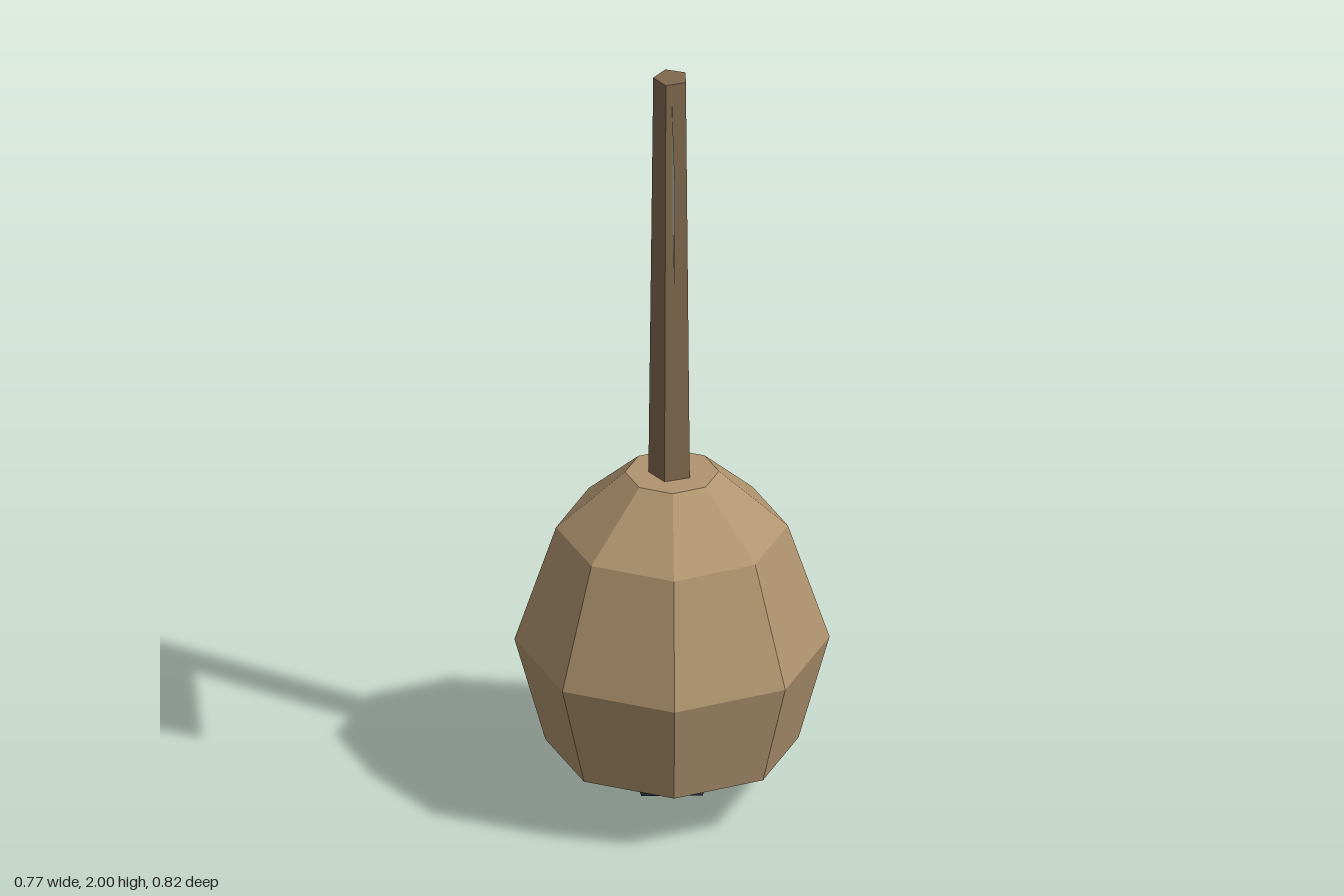
import * as THREE from 'three';

const AXIS_Z = -0.026; // the body and pole sit slightly behind the origin, balancing the flag

function addPart(group, name, geometry, color, side = THREE.FrontSide) {
  const material = new THREE.MeshStandardMaterial({ color, flatShading: true, side });
  const mesh = new THREE.Mesh(geometry, material);
  mesh.name = name;
  group.add(mesh);
  return mesh;
}

export function createModel() {
  const model = new THREE.Group();
  model.name = 'flaggedBuoy';

  // Eight-sided float, closed by a point below and a flat cap above
  const profile = [
    [0, 0.01], [0.31, 0.16], [0.386, 0.44], [0.284, 0.75], [0.115, 0.903], [0, 0.903],
  ].map(([r, y]) => new THREE.Vector2(r, y));
  const body = addPart(model, 'floatBody', new THREE.LatheGeometry(profile, 8), 0xb0946f);
  body.position.z = AXIS_Z;

  // Five-sided tapering pole
  const poleHeight = 1.12;
  const pole = addPart(model, 'pole',
    new THREE.CylinderGeometry(0.044, 0.056, poleHeight, 5, 1, false, -Math.PI / 2), 0x80694f);
  pole.position.set(-0.002, 2 - poleHeight / 2, AXIS_Z);

  // Thin flag reaching forward from the pole; shape x runs along +z
  const flagShape = new THREE.Shape([
    new THREE.Vector2(-0.025, 1.628), new THREE.Vector2(0.36, 1.605),
    new THREE.Vector2(0.41, 1.938), new THREE.Vector2(-0.025, 1.938),
  ]);
  const flagGeometry = new THREE.ShapeGeometry(flagShape).rotateY(-Math.PI / 2);
  addPart(model, 'flag', flagGeometry, 0xc6c2b2, THREE.DoubleSide);

  // Metal mooring ring, mostly sunk into the underside
  const ring = addPart(model, 'mooringRing',
    new THREE.TorusGeometry(0.107, 0.021, 3, 5).rotateZ(Math.PI / 2), 0x41464f);
  ring.position.set(0, 0.128 * Math.cos(Math.PI / 5), AXIS_Z);

  return model;
}
